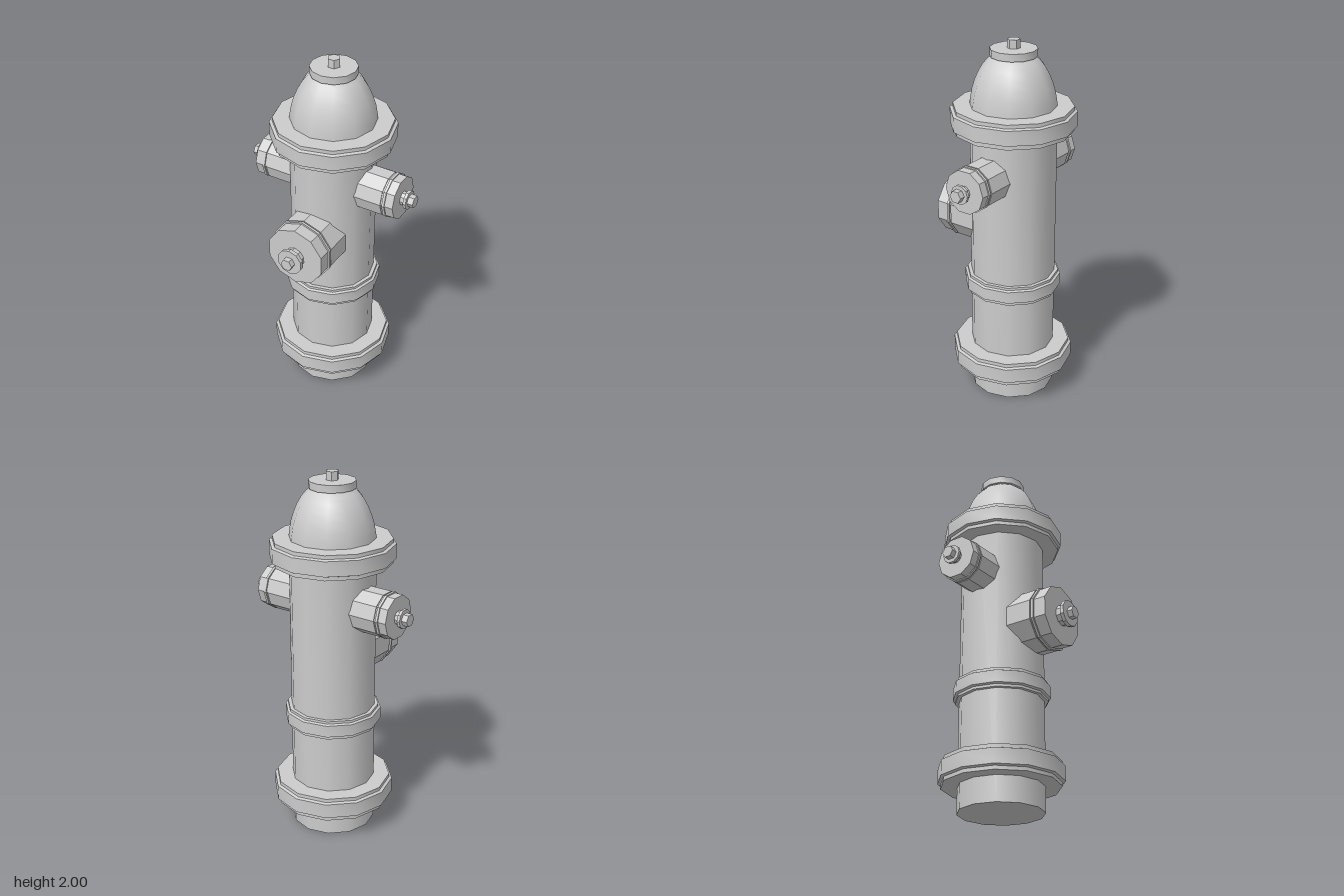
import * as THREE from 'three';
import { toCreasedNormals } from 'three/addons/utils/BufferGeometryUtils.js';

const material = new THREE.MeshStandardMaterial({ color: 0xcccccc });

// Closed turned part: profile is [radius, height] from bottom to top
function turned(name, profile, sides, phi = 0) {
  const pts = [[0, profile[0][1]], ...profile, [0, profile[profile.length - 1][1]]]
    .map(([r, y]) => new THREE.Vector2(r, y));
  const geometry = toCreasedNormals(new THREE.LatheGeometry(pts, sides, phi), 0.6);
  const mesh = new THREE.Mesh(geometry, material);
  mesh.name = name;
  return mesh;
}

// Flange with a thinner plate showing above and below the main ring
function flange(name, y0, y1, inner, outer, lip) {
  return turned(name, [
    [inner, y0], [inner, y0 + lip], [outer, y0 + lip + 0.006],
    [outer, y1 - lip - 0.006], [inner, y1 - lip], [inner, y1],
  ], 12);
}

// Hose outlet pointing up its own y axis
function outlet(name, { start, rim, end, r, capR, hub, washer, tip, phi }) {
  const group = new THREE.Group();
  group.name = name;
  group.add(
    turned('barrel', [[r, start], [r, rim - 0.024]], 10),
    turned('barrelCollar', [[r * 0.96, rim - 0.024], [r * 0.96, rim - 0.012]], 10),
    turned('capRim', [[r * 1.02, rim - 0.014], [r * 1.02, rim]], 10),
    turned('cap', [[capR, rim], [capR, end]], 10),
    turned('capHub', [[hub[0], end - 0.01], [hub[0], hub[1]]], 10),
    turned('capWasher', [[washer[0], hub[1]], [washer[0], washer[1]]], 10),
    turned('capNut', [[0.034, washer[1] - 0.01], [0.034, tip]], 6, phi),
  );
  return group;
}

export function createModel() {
  const model = new THREE.Group();
  model.name = 'fireHydrant';
  const hydrant = new THREE.Group();
  hydrant.name = 'hydrant';
  hydrant.position.z = -0.073;
  model.add(hydrant);

  // Column and its flanges
  hydrant.add(
    turned('column', [[0.23, 0], [0.23, 1.6]], 12),
    flange('baseFlange', 0.138, 0.272, 0.317, 0.333, 0.02),
    flange('middleBand', 0.602, 0.708, 0.25, 0.263, 0.014),
    flange('topFlange', 1.522, 1.654, 0.317, 0.333, 0.02),
  );

  // Domed bonnet with operating nut
  hydrant.add(
    turned('bonnet', [
      [0.23, 1.63], [0.227, 1.67], [0.217, 1.73], [0.202, 1.78],
      [0.183, 1.825], [0.16, 1.865], [0.135, 1.895], [0.11, 1.915],
    ], 12),
    turned('bonnetCap', [[0.124, 1.914], [0.124, 1.954]], 12),
    turned('operatingNut', [[0.034, 1.94], [0.034, 2]], 6, Math.PI / 2),
  );

  // Large front outlet
  const front = outlet('frontOutlet', {
    start: 0.1, rim: 0.322, end: 0.391, r: 0.174, capR: 0.168,
    hub: [0.057, 0.425], washer: [0.073, 0.446], tip: 0.476, phi: Math.PI / 2,
  });
  front.position.y = 1.01;
  front.rotation.x = Math.PI / 2;
  hydrant.add(front);

  // Pair of smaller side outlets
  for (const side of [1, -1]) {
    const o = outlet(side > 0 ? 'leftOutlet' : 'rightOutlet', {
      start: 0.1, rim: 0.372, end: 0.418, r: 0.122, capR: 0.118,
      hub: [0.038, 0.442], washer: [0.052, 0.458], tip: 0.49, phi: 0,
    });
    o.position.y = 1.304;
    o.rotation.z = -side * Math.PI / 2;
    hydrant.add(o);
  }

  return model;
}
